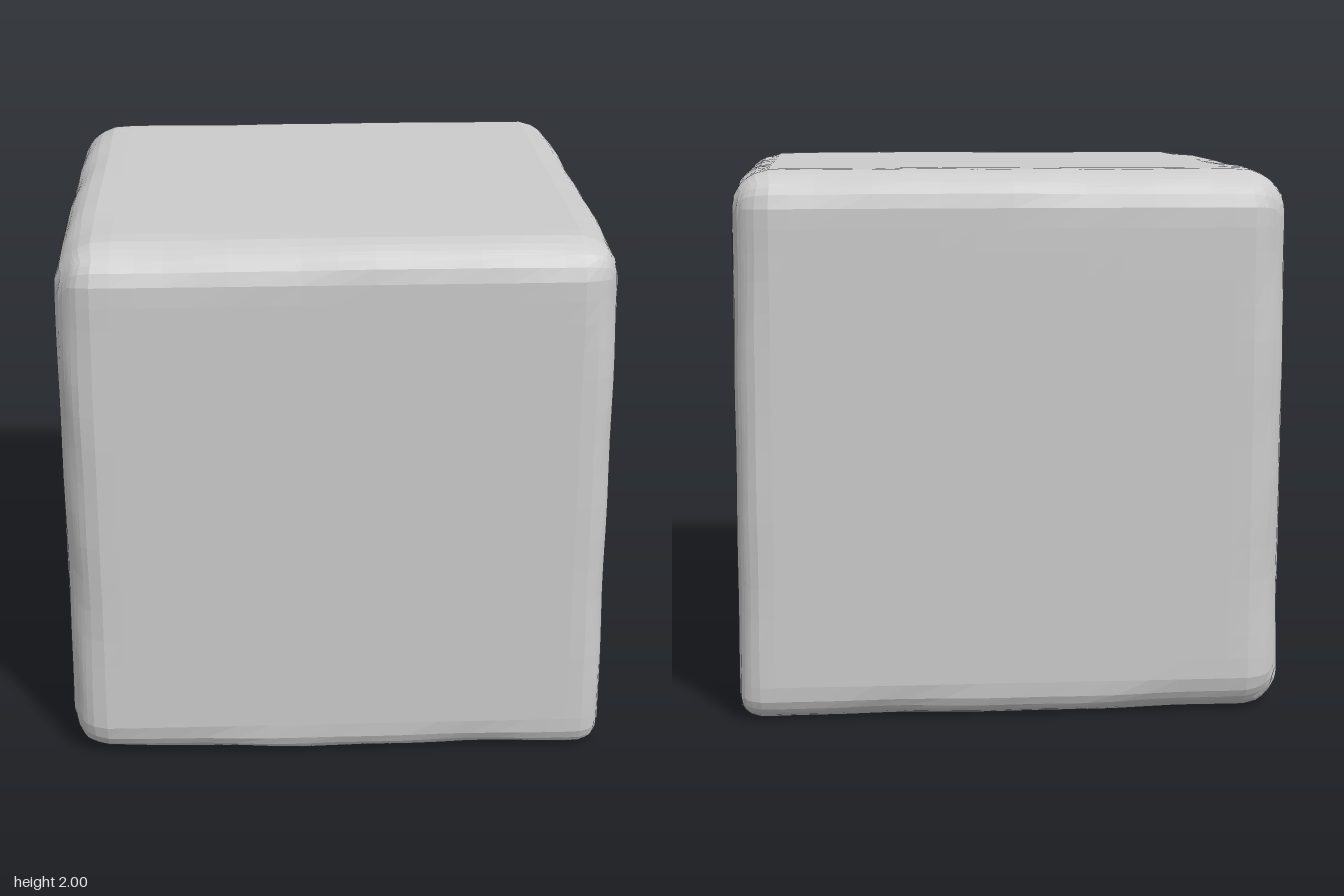
import * as THREE from 'three';
import { mergeGeometries } from 'three/addons/utils/BufferGeometryUtils.js';

const N = 24; // divisions along each cube edge, closer together near the corners
const HOLE = { radius: 0.34, z: 0.055, depth: 0.9 };
const spread = (k) => Math.sin((k / N - 0.5) * Math.PI);

// smooth, repeatable unevenness
const wobble = (x, y, z) =>
  (Math.sin(5.1 * x + 2.3 * y + 1.2) + Math.sin(4.3 * y - 3.7 * z + 0.4) +
   Math.sin(6.2 * z + 2.9 * x - 0.8) + 0.6 * Math.sin(13 * x + 11 * y + 12 * z)) / 3.6;

// worn edges: pull a point of the sharp cube onto an uneven rounding
function wear(p) {
  const r = 0.135 - 0.025 * p.x + 0.015 * p.y + 0.035 * wobble(p.x, p.y, p.z);
  const core = p.clone().clampScalar(-(1 - r), 1 - r);
  return p.clone().sub(core).setLength(r).add(core);
}

// point on the cube side with the given axis and sign; u, v run across the side
function sidePoint(axis, sign, u, v, height = 1) {
  const p = new THREE.Vector3();
  p.setComponent(axis, sign * height);
  p.setComponent((axis + 1) % 3, u * sign);
  p.setComponent((axis + 2) % 3, v);
  return p;
}

function grid(rows, cols, pointAt) {
  const positions = [], index = [];
  for (let i = 0; i <= rows; i++)
    for (let j = 0; j <= cols; j++) positions.push(...pointAt(i, j).toArray());
  for (let i = 0; i < rows; i++)
    for (let j = 0; j < cols; j++) {
      const a = i * (cols + 1) + j, b = a + cols + 1;
      index.push(a, b, b + 1, a, b + 1, a + 1);
    }
  const g = new THREE.BufferGeometry();
  g.setAttribute('position', new THREE.Float32BufferAttribute(positions, 3));
  g.setIndex(index);
  g.computeVertexNormals();
  return g;
}

const plainSide = (axis, sign) =>
  grid(N, N, (i, j) => wear(sidePoint(axis, sign, spread(i), spread(j))));

// k-th point round the square outline of a side
function outline(k) {
  const e = spread(k % N);
  return [[1, e], [-e, 1], [-1, -e], [e, -1]][Math.floor(k / N) % 4];
}

// direction from the hole centre towards an outline point
function spoke(k) {
  const [u, v] = outline(k);
  return new THREE.Vector2(u, v - HOLE.z).normalize().multiplyScalar(HOLE.radius);
}

// side surface running from the hole rim out to the square outline
function drilledSide(sign) {
  const steps = [0, 0.3, 0.55, 0.7, 0.8, 0.88, 0.94, 0.98, 1];
  return grid(steps.length - 1, 4 * N, (i, k) => {
    const [u, v] = outline(k), s = spoke(k), t = steps[i];
    return wear(sidePoint(0, sign,
      THREE.MathUtils.lerp(s.x, u, t), THREE.MathUtils.lerp(s.y + HOLE.z, v, t)));
  });
}

// blind hole: uneven floor, then straight wall up to the rim
function holeLining(sign) {
  const floorRings = 6;
  return grid(floorRings + 1, 4 * N, (i, k) => {
    const s = spoke(k).multiplyScalar(Math.min(i / floorRings, 1));
    const height = i > floorRings ? 1
      : 1 - HOLE.depth + 0.035 * wobble(s.x * 2, s.y * 2, sign);
    return sidePoint(0, sign, s.x, s.y + HOLE.z, height);
  });
}

export function createModel() {
  const model = new THREE.Group();
  model.name = 'drilledBlock';
  const material = new THREE.MeshStandardMaterial({ color: 0xcccccc, flatShading: true });

  const add = (name, geometry) => {
    const mesh = new THREE.Mesh(geometry, material);
    mesh.name = name;
    mesh.position.y = 1;
    model.add(mesh);
  };

  // block with a hole in its left and right sides
  add('block', mergeGeometries([
    drilledSide(1), drilledSide(-1),
    plainSide(1, 1), plainSide(1, -1),
    plainSide(2, 1), plainSide(2, -1),
  ]));
  add('leftHole', holeLining(1));
  add('rightHole', holeLining(-1));
  return model;
}
